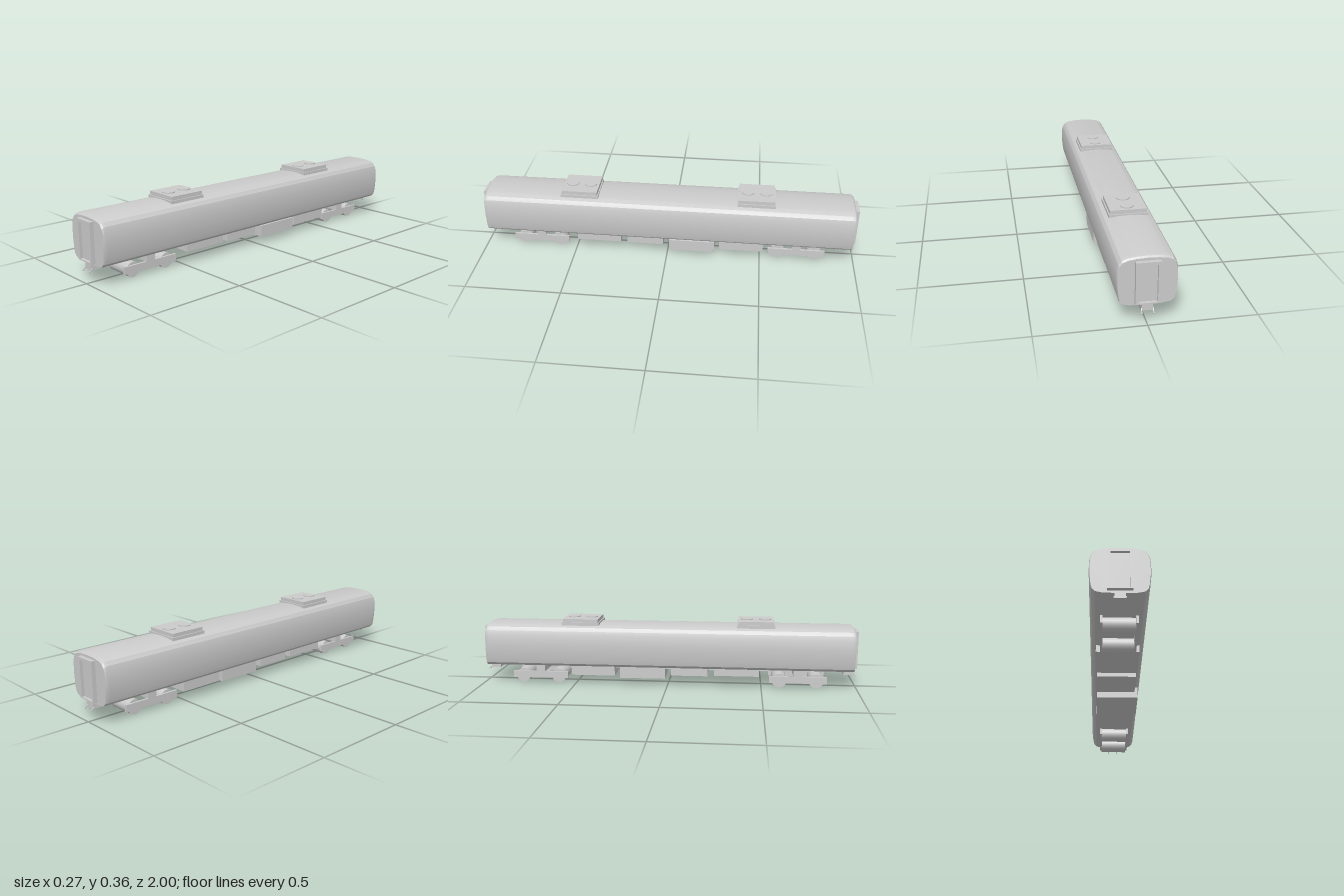
import * as THREE from 'three';
import { toCreasedNormals } from 'three/addons/utils/BufferGeometryUtils.js';

const material = new THREE.MeshStandardMaterial({ color: 0xcccccc });

function add(parent, name, geometry, x = 0, y = 0, z = 0) {
  const mesh = new THREE.Mesh(geometry, material);
  mesh.name = name;
  mesh.position.set(x, y, z);
  parent.add(mesh);
  return mesh;
}

// Box given by its limits on each axis
function box(parent, name, [x0, x1], [y0, y1], [z0, z1]) {
  return add(parent, name, new THREE.BoxGeometry(x1 - x0, y1 - y0, z1 - z0),
    (x0 + x1) / 2, (y0 + y1) / 2, (z0 + z1) / 2);
}

// Carriage shell: a rounded section lofted along z, drawn in a little at the ends
function shellGeometry() {
  const half = [
    [0, 0.094], [0.08, 0.097], [0.108, 0.103], [0.123, 0.117], [0.129, 0.14],
    [0.134, 0.19], [0.135, 0.22], [0.133, 0.27], [0.126, 0.294], [0.113, 0.312],
    [0.09, 0.322], [0.05, 0.328], [0, 0.33],
  ];
  const section = [...half, ...half.slice(1, -1).reverse().map(([x, y]) => [-x, y])];
  const rings = [[-0.98, 0.955], [-0.973, 0.985], [-0.96, 1], [0.96, 1], [0.973, 0.985], [0.98, 0.955]];
  const n = section.length;
  const positions = [];
  const index = [];
  for (const [z, s] of rings) {
    for (const [x, y] of section) positions.push(x * (0.4 + 0.6 * s), 0.094 + (y - 0.094) * s, z);
  }
  for (let r = 0; r < rings.length - 1; r++) {
    for (let i = 0; i < n; i++) {
      const a = r * n + i, b = r * n + (i + 1) % n;
      index.push(a, b, b + n, a, b + n, a + n);
    }
  }
  // Flat end walls
  const last = (rings.length - 1) * n;
  for (let i = 1; i < n - 1; i++) {
    index.push(0, i + 1, i);
    index.push(last, last + i, last + i + 1);
  }
  const geometry = new THREE.BufferGeometry();
  geometry.setAttribute('position', new THREE.Float32BufferAttribute(positions, 3));
  geometry.setIndex(index);
  return toCreasedNormals(geometry, 0.3);
}

// Gangway door and coupler at the +z end
function makeEnd() {
  const end = new THREE.Group();
  const frame = new THREE.Shape();
  frame.moveTo(-0.056, 0.107).lineTo(0.056, 0.107).lineTo(0.056, 0.307).lineTo(-0.056, 0.307).closePath();
  const opening = new THREE.Path();
  opening.moveTo(-0.042, 0.113).lineTo(-0.042, 0.292).lineTo(0.042, 0.292).lineTo(0.042, 0.113).closePath();
  frame.holes.push(opening);
  add(end, 'gangwayFrame', new THREE.ExtrudeGeometry(frame, { depth: 0.025, bevelEnabled: false }), 0, 0, 0.975);
  box(end, 'gangwayDoor', [-0.043, 0.043], [0.11, 0.294], [0.97, 0.985]);
  box(end, 'coupler', [-0.024, 0.024], [0.067, 0.098], [0.935, 0.985]);
  for (const side of [-1, 1]) {
    const hook = add(end, 'couplerHook', new THREE.BoxGeometry(0.004, 0.006, 0.028), side * 0.026, 0.068, 0.988);
    hook.rotation.x = 0.75;
  }
  return end;
}

// Bogie: two wheel drums, side frames and a bolster
function makeBogie() {
  const bogie = new THREE.Group();
  const drum = new THREE.CylinderGeometry(0.038, 0.038, 0.148, 24).rotateZ(Math.PI / 2);
  for (const z of [-0.0975, 0.0975]) add(bogie, 'wheelset', drum, 0, 0.039, z);
  for (const side of [-1, 1]) {
    add(bogie, 'sideFrame', new THREE.BoxGeometry(0.012, 0.036, 0.302), side * 0.079, 0.046, 0);
  }
  box(bogie, 'bolster', [-0.085, 0.085], [0.062, 0.1], [-0.024, 0.024]);
  return bogie;
}

// Roof unit with two round fans
function makeRoofUnit() {
  const unit = new THREE.Group();
  box(unit, 'roofUnitBase', [-0.094, 0.094], [0.315, 0.336], [-0.1, 0.1]);
  box(unit, 'roofUnitCover', [-0.088, 0.088], [0.336, 0.355], [-0.094, 0.094]);
  const fan = new THREE.CylinderGeometry(0.032, 0.032, 0.01, 24);
  for (const z of [-0.048, 0.048]) add(unit, 'fan', fan, 0, 0.355, z);
  return unit;
}

export function createModel() {
  const model = new THREE.Group();
  model.name = 'railwayCarriage';
  add(model, 'bodyShell', shellGeometry());

  for (const side of [1, -1]) {
    const name = side > 0 ? 'front' : 'back';
    const end = makeEnd();
    end.name = name + 'End';
    if (side < 0) end.rotation.y = Math.PI;

    const bogie = makeBogie();
    bogie.name = name + 'Bogie';
    bogie.position.z = side * 0.693;

    const unit = makeRoofUnit();
    unit.name = name + 'RoofUnit';
    unit.position.z = side * 0.467;
    model.add(end, bogie, unit);
  }

  // Equipment boxes under the floor
  box(model, 'underframe', [-0.07, 0.07], [0.089, 0.1], [-0.54, 0.54]);
  const equipment = [
    [[-0.105, 0.105], 0.065, [0.25, 0.487]],
    [[-0.1, 0.1], 0.06, [0.02, 0.215]],
    [[-0.1, 0.118], 0.041, [-0.255, -0.012]],
    [[-0.105, 0.105], 0.053, [-0.515, -0.282]],
  ];
  for (const [x, bottom, z] of equipment) box(model, 'equipmentBox', x, [bottom, 0.102], z);
  return model;
}
